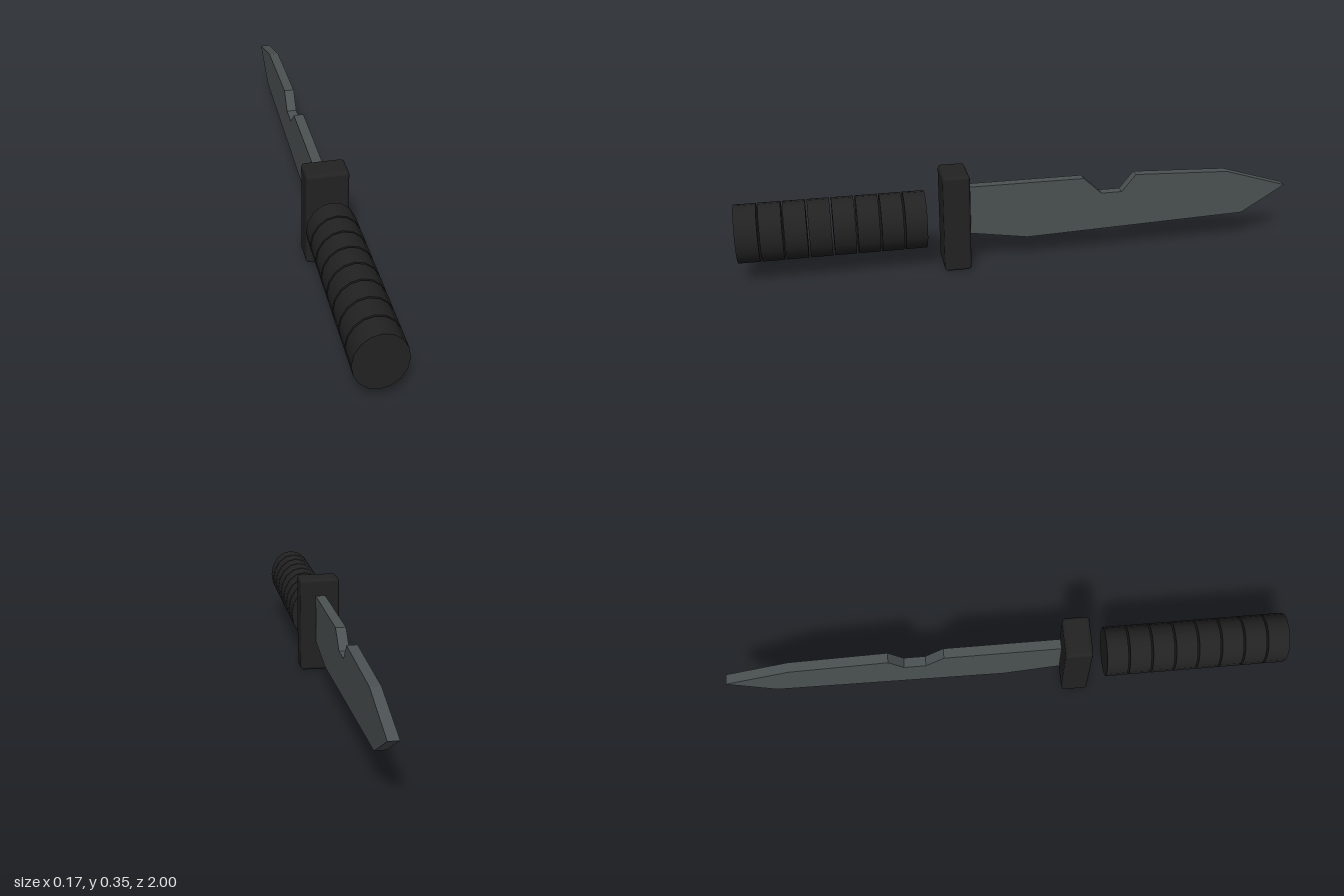
import * as THREE from 'three';
import { RoundedBoxGeometry } from 'three/addons/geometries/RoundedBoxGeometry.js';

export function createModel() {
  const group = new THREE.Group();
  const grip = new THREE.MeshStandardMaterial({ color: 0x222222 });
  grip.name = 'black grip';
  const steel = new THREE.MeshStandardMaterial({ color: 0x4b5152 });
  steel.name = 'dark steel';

  const add = (name, geometry, material, x, y, z) => {
    const mesh = new THREE.Mesh(geometry, material);
    mesh.name = name;
    mesh.position.set(x, y, z);
    group.add(mesh);
  };

  // Handle: a row of separate oval discs with narrow gaps
  const count = 8, length = 0.0755, pitch = 0.082;
  const disc = new THREE.CylinderGeometry(1, 1, length, 16);
  disc.rotateX(Math.PI / 2).scale(0.0865, 0.104, 1);
  for (let i = 0; i < count; i++) {
    add('handleRing' + (i + 1), disc, grip, 0, 0.18, 1 - length / 2 - i * pitch);
  }

  // Crossguard with slightly rounded edges
  add('guard', new RoundedBoxGeometry(0.148, 0.355, 0.095, 2, 0.012), grip, 0, 0.1775, 0.245);

  // Blade outline as (z, y), with a notch in the spine
  const outline = [
    [0.19, 0.117], [0.19, 0.294], [-0.222, 0.294], [-0.289, 0.232], [-0.366, 0.232],
    [-0.417, 0.294], [-0.767, 0.279], [-1, 0.208], [-0.837, 0.11], [-0.016, 0.084],
  ].map(([z, y]) => new THREE.Vector2(z, y));
  const thickness = 0.036;
  const blade = new THREE.ExtrudeGeometry(new THREE.Shape(outline), { depth: thickness, bevelEnabled: false });
  blade.translate(0, 0, -thickness / 2).rotateY(-Math.PI / 2);
  add('blade', blade, steel, 0, 0, 0);

  return group;
}
